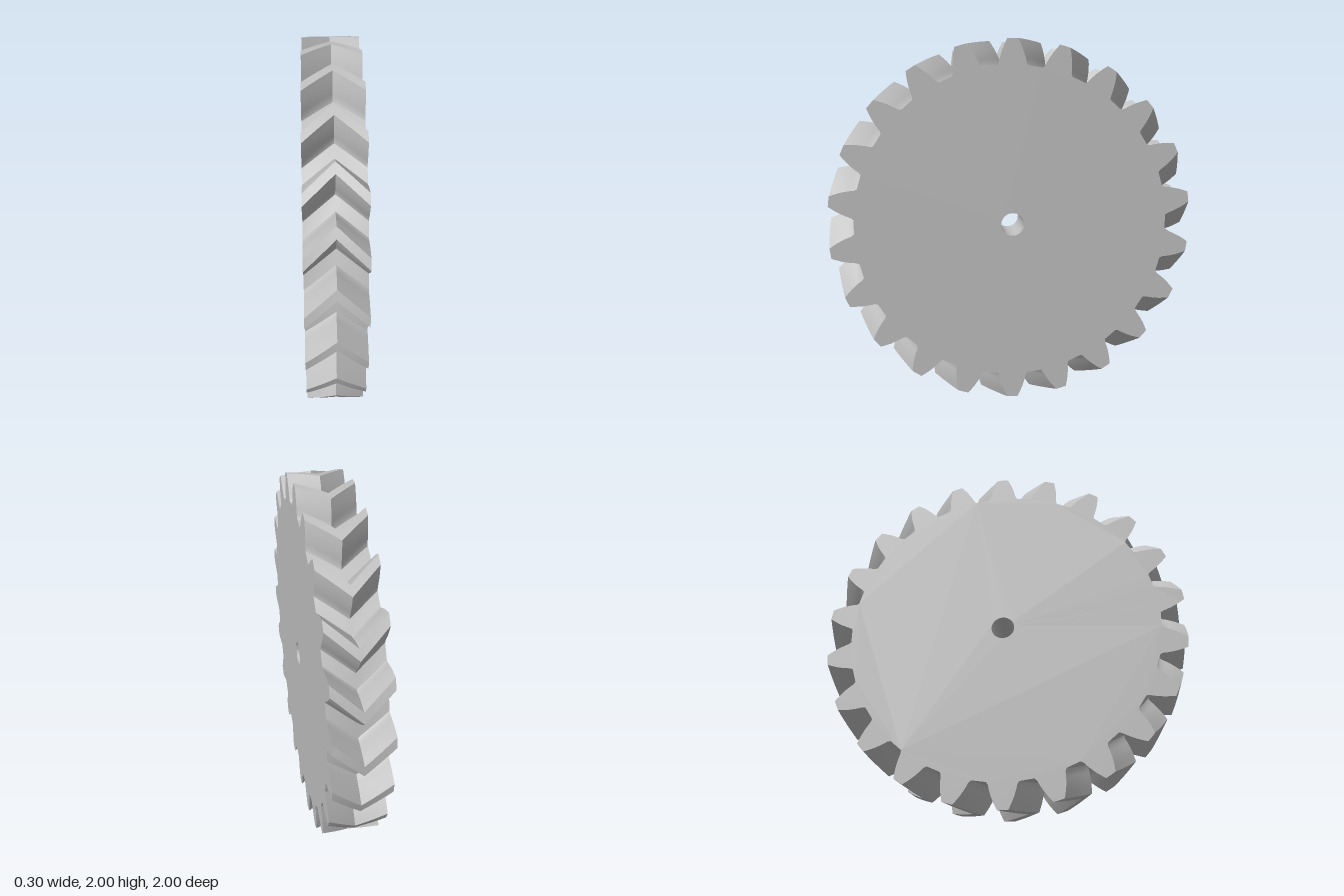
import * as THREE from 'three';
import { toCreasedNormals } from 'three/addons/utils/BufferGeometryUtils.js';

const TEETH = 22;
const PITCH = (Math.PI * 2) / TEETH;
const HALF_WIDTH = 0.15;
const BORE = 0.063;
const STEPS = 12;

// One tooth flank: [radius, half angle in degrees], from root to tip
const FLANK = [
  [0.862, 5.6], [0.875, 4.92], [0.9, 4.41], [0.925, 3.83],
  [0.95, 3.18], [0.975, 2.43], [1, 1.65],
];

// Outline of the gear with its shaft hole
function gearShape() {
  const tooth = [
    ...FLANK.map(([r, a]) => [r, -a]),
    [1, 0],
    ...FLANK.map(([r, a]) => [r, a]).reverse(),
  ];
  const points = [];
  for (let i = 0; i < TEETH; i++) {
    for (const [r, deg] of tooth) {
      const a = Math.PI / 2 + i * PITCH + THREE.MathUtils.degToRad(deg);
      points.push(new THREE.Vector2(r * Math.cos(a), r * Math.sin(a)));
    }
  }
  const shape = new THREE.Shape(points);
  const hole = new THREE.Path();
  hole.absarc(0, 0, BORE, 0, Math.PI * 2, true);
  shape.holes.push(hole);
  return shape;
}

// Extrude the outline and twist it half a pitch towards the middle plane
function herringboneGeometry() {
  const geometry = new THREE.ExtrudeGeometry(gearShape(), {
    depth: HALF_WIDTH * 2, steps: STEPS, bevelEnabled: false, curveSegments: 20,
  });
  geometry.translate(0, 0, -HALF_WIDTH);
  const pos = geometry.attributes.position;
  const v = new THREE.Vector3();
  const axis = new THREE.Vector3(0, 0, 1);
  for (let i = 0; i < pos.count; i++) {
    v.fromBufferAttribute(pos, i);
    v.applyAxisAngle(axis, -(PITCH / 2) * (1 - Math.abs(v.z) / HALF_WIDTH));
    pos.setXYZ(i, v.x, v.y, v.z);
  }
  geometry.rotateY(Math.PI / 2);
  return toCreasedNormals(geometry, THREE.MathUtils.degToRad(25));
}

export function createModel() {
  const group = new THREE.Group();
  group.name = 'herringboneGear';
  const steel = new THREE.MeshStandardMaterial({ color: 0xbfbfbf });
  steel.name = 'light grey';
  const gear = new THREE.Mesh(herringboneGeometry(), steel);
  gear.name = 'gearWheel';
  gear.position.y = 1;
  group.add(gear);
  return group;
}
